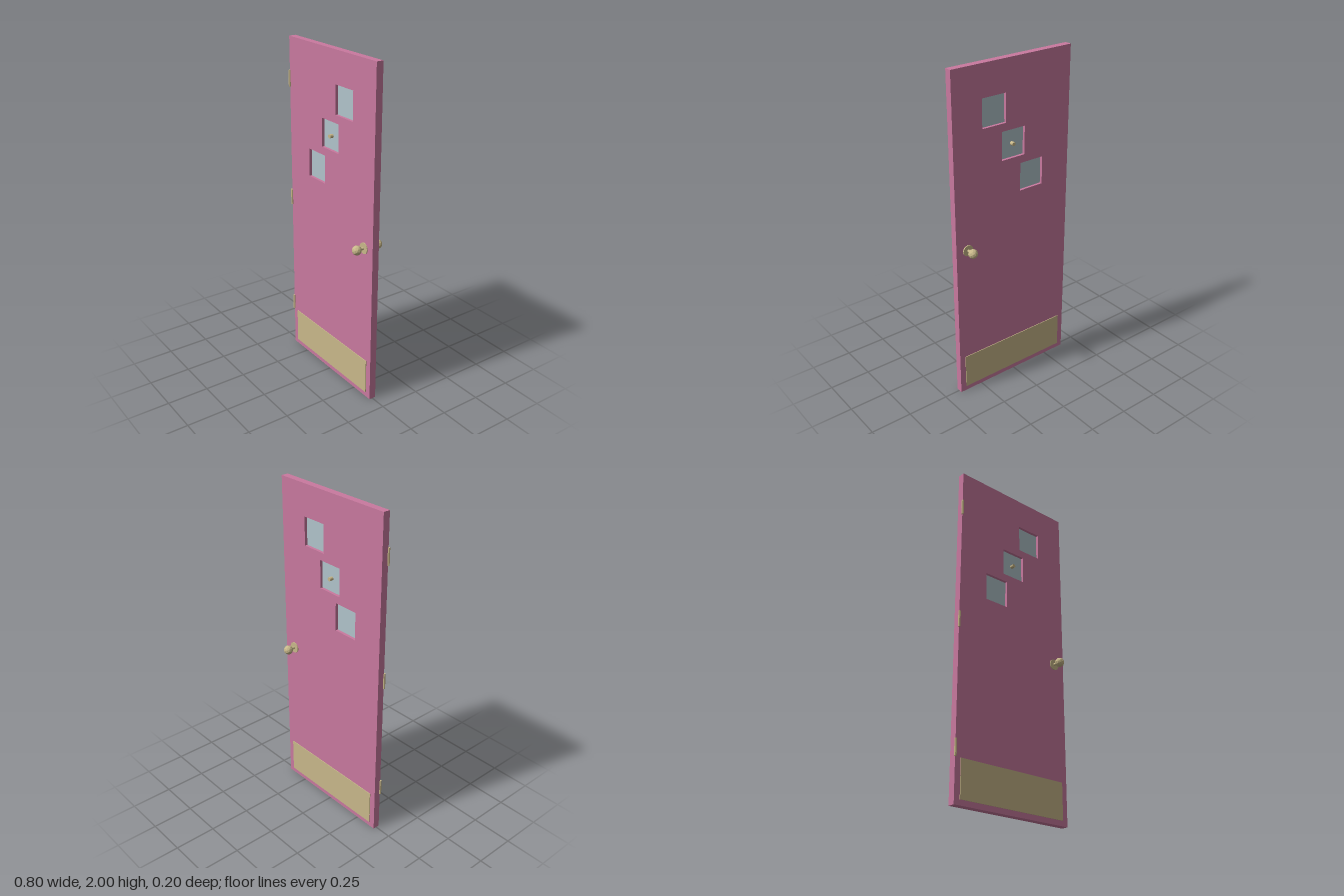
import * as THREE from 'three';

export function createModel() {
  const model = new THREE.Group();
  model.name = 'door';
  const pink = new THREE.MeshStandardMaterial({ name: 'pink paint', color: 0xc9799f });
  const brass = new THREE.MeshStandardMaterial({ name: 'brass', color: 0xc8b88a, flatShading: true });
  const glass = new THREE.MeshStandardMaterial({ name: 'pale glass', color: 0xb1c4cb });

  const add = (name, geometry, material, x, y, z, parent = model) => {
    const mesh = new THREE.Mesh(geometry, material);
    mesh.name = name;
    mesh.position.set(x, y, z);
    parent.add(mesh);
    return mesh;
  };
  const disc = (radius, depth, sides) =>
    new THREE.CylinderGeometry(radius, radius, depth, sides).rotateX(Math.PI / 2);

  const left = -0.393, right = 0.4, height = 2, thick = 0.042;
  const face = thick / 2, mid = (left + right) / 2;
  const paneW = 0.158, paneH = 0.168;
  const panes = [[mid - 0.128, 1.302], [mid, 1.516], [mid + 0.128, 1.73]];

  // Slab with three window openings on a diagonal
  const slab = new THREE.Shape([
    new THREE.Vector2(left, 0), new THREE.Vector2(right, 0),
    new THREE.Vector2(right, height), new THREE.Vector2(left, height),
  ]);
  for (const [x, y] of panes) {
    const w = paneW / 2, h = paneH / 2;
    slab.holes.push(new THREE.Path([
      new THREE.Vector2(x - w, y - h), new THREE.Vector2(x - w, y + h),
      new THREE.Vector2(x + w, y + h), new THREE.Vector2(x + w, y - h),
    ]));
    add('windowPane', new THREE.BoxGeometry(paneW, paneH, 0.008), glass, x, y, 0);
  }
  add('doorSlab', new THREE.ExtrudeGeometry(slab, { depth: thick, bevelEnabled: false }), pink, 0, 0, -face);

  // Peephole through the middle pane
  add('peephole', disc(0.011, 0.054, 12), brass, mid, 1.513, 0);

  // Kick plate and knob on both faces
  for (const side of [1, -1]) {
    add('kickPlate', new THREE.BoxGeometry(0.72, 0.215, 0.004), brass, mid, 0.138, side * (face + 0.002));
    const knob = new THREE.Group();
    knob.name = side > 0 ? 'frontKnob' : 'backKnob';
    knob.position.set(0.324, 0.957, 0);
    model.add(knob);
    add('rose', disc(0.033, 0.006, 16), brass, 0, 0, side * (face + 0.003), knob);
    add('spindle', disc(0.008, 0.04, 10), brass, 0, 0, side * (face + 0.02), knob);
    add('knobBall', new THREE.IcosahedronGeometry(0.028, 1), brass, 0, 0, side * 0.071, knob);
  }

  // Hinge knuckles on the front left edge
  for (const y of [0.295, 1.027, 1.757]) {
    add('hinge', new THREE.CylinderGeometry(0.007, 0.007, 0.096, 8), brass, left, y, 0.023);
  }
  return model;
}
